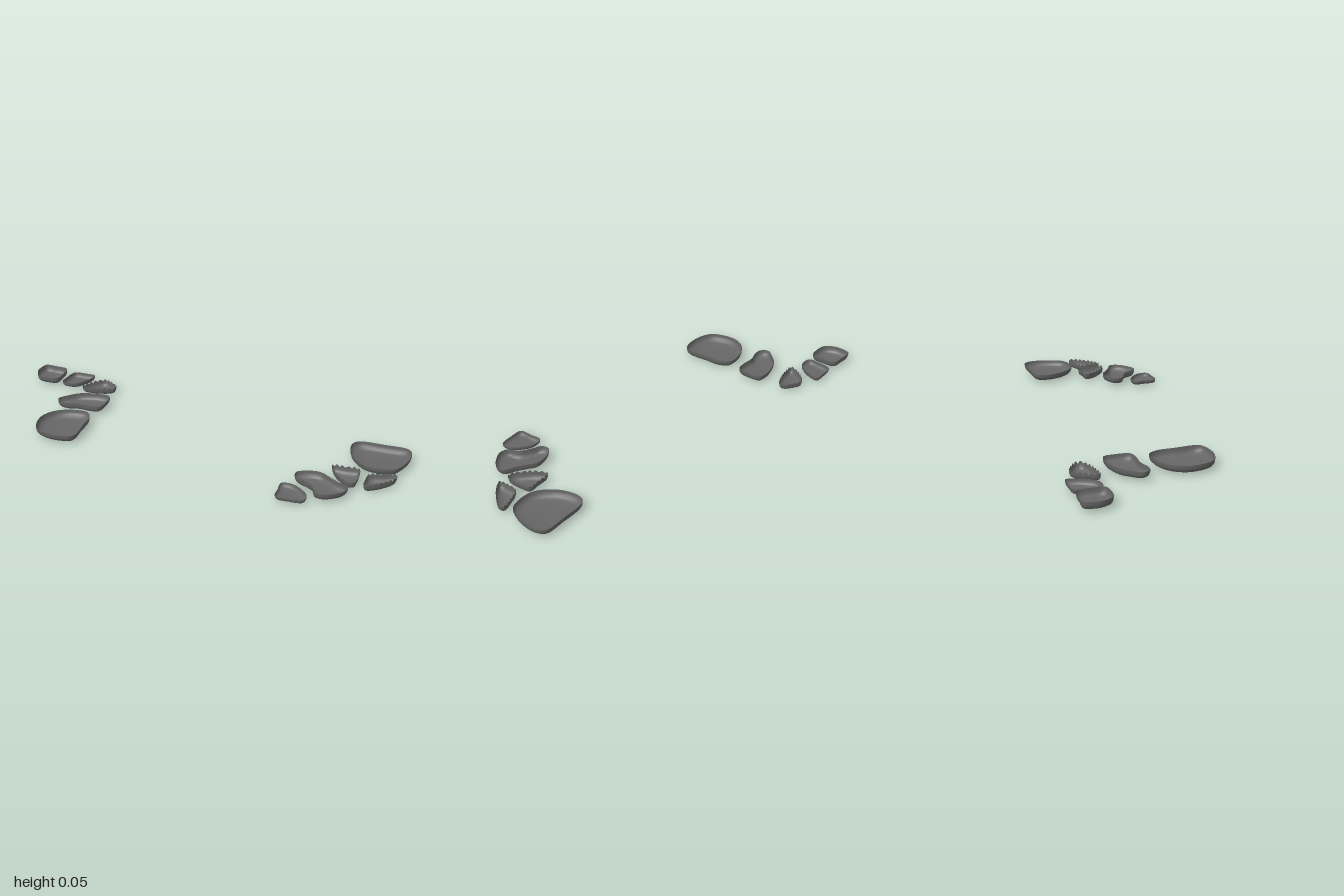
import * as THREE from 'three';

const SEGMENTS = 56;

// Cross-section from rim to base: [outline scale, height fraction]
const SECTION = [[1, 1], [0.995, 0.72], [0.97, 0.48], [0.91, 0.28], [0.8, 0.16], [0.6, 0.07], [0.3, 0.02]];

const material = new THREE.MeshStandardMaterial({ color: 0x666666, side: THREE.DoubleSide });

// Shallow open dish; outline is x, z pairs in hundredths of a unit
function dish(name, outline, base, rim, notch = 0) {
  const points = [];
  for (let i = 0; i < outline.length; i += 2) {
    points.push(new THREE.Vector3(outline[i] / 100, 0, outline[i + 1] / 100));
  }
  const curve = new THREE.CatmullRomCurve3(points, true, 'centripetal');
  const ring = curve.getSpacedPoints(SEGMENTS).slice(0, SEGMENTS);
  const centre = ring.reduce((sum, p) => sum.add(p), new THREE.Vector3()).divideScalar(SEGMENTS);

  const positions = [];
  const indices = [];
  SECTION.forEach(([scale, height], row) => {
    ring.forEach((p, i) => {
      const q = centre.clone().lerp(p, scale);
      // Uneven broken edge on the small pieces
      const drop = row === 0 ? notch * Math.max(0, Math.sin(i * 1.9)) : 0;
      positions.push(q.x, base + (rim - base) * height - drop, q.z);
    });
  });
  const last = SECTION.length - 1;
  const middle = SECTION.length * SEGMENTS;
  positions.push(centre.x, base, centre.z);

  // Outlines run clockwise seen from above, so the outside faces out and down
  for (let i = 0; i < SEGMENTS; i++) {
    const j = (i + 1) % SEGMENTS;
    for (let row = 0; row < last; row++) {
      const a = row * SEGMENTS + i, b = row * SEGMENTS + j;
      const c = a + SEGMENTS, d = b + SEGMENTS;
      indices.push(a, b, c, b, d, c);
    }
    indices.push(last * SEGMENTS + i, last * SEGMENTS + j, middle);
  }
  const geometry = new THREE.BufferGeometry();
  geometry.setAttribute('position', new THREE.Float32BufferAttribute(positions, 3));
  geometry.setIndex(indices);
  geometry.computeVertexNormals();
  const mesh = new THREE.Mesh(geometry, material);
  mesh.name = name;
  return mesh;
}

export function createModel() {
  const model = new THREE.Group();
  model.name = 'dishPieces';

  // Right-hand cluster, from back to front
  const right = new THREE.Group();
  right.name = 'rightCluster';
  right.add(
    dish('rightBackSquare', [-99, -43, -93, -43, -87, -42, -86, -36, -86.5, -30, -91, -29, -97, -30, -100, -35, -100, -40], 0.012, 0.053),
    dish('rightBackWedge', [-82, -42, -76, -42.5, -71, -42, -71, -39, -73, -34, -76, -30, -79, -29, -83.5, -30, -83.5, -36, -83, -40], 0.01, 0.04),
    dish('rightTriangle', [-63, -38, -58.5, -36, -55, -33, -55, -30.5, -60, -28, -65, -27, -71, -27, -70, -30.5, -67, -35], 0.006, 0.048, 0.012),
    dish('rightBean', [-64, -20, -58.5, -21, -53, -20, -52, -14, -53, -8, -58, -7, -64.5, -7.5, -70, -6, -74, -6.5, -76, -10, -73, -14, -69, -18], 0.01, 0.05),
    dish('rightLarge', [-61, -1, -56, -0.5, -53, 4, -52.5, 12, -52.5, 24, -57, 26, -64.5, 26, -71.5, 23, -74.5, 17, -75, 10, -72, 4, -67, 0.5], 0.006, 0.05),
  );

  // Left-hand cluster, from back to front
  const left = new THREE.Group();
  left.name = 'leftCluster';
  left.add(
    dish('leftLarge', [74.5, -16.5, 86, -17, 97, -16.5, 99.5, -12, 98.5, -3, 95, 4, 88.5, 6, 81.5, 5, 75, -1, 72, -8, 72, -14], 0.008, 0.05),
    dish('leftInnerTriangle', [68, 9, 74, 8.5, 80, 8.5, 81, 13, 80.5, 21, 78, 21.5, 73.5, 18, 70, 14], 0.006, 0.05, 0.01),
    dish('leftOuterTriangle', [85, 12, 90, 9.5, 96.5, 8, 97, 10.5, 93, 16, 88.5, 20, 85, 21.5, 84.5, 16.5], 0.006, 0.05, 0.01),
    dish('leftBean', [54.5, 21, 59, 18, 65, 17.5, 69, 20, 73.5, 23, 79, 26, 78.5, 30, 74.5, 34, 70, 36, 66.5, 35, 64, 30, 59.5, 27, 55, 24.5], 0.01, 0.05),
    dish('leftFront', [50.5, 30, 55, 29.5, 59.5, 32, 63.5, 36.5, 63.5, 41, 57, 42, 51, 41.5, 50.5, 36], 0.012, 0.037),
  );

  model.add(right, left);
  return model;
}
